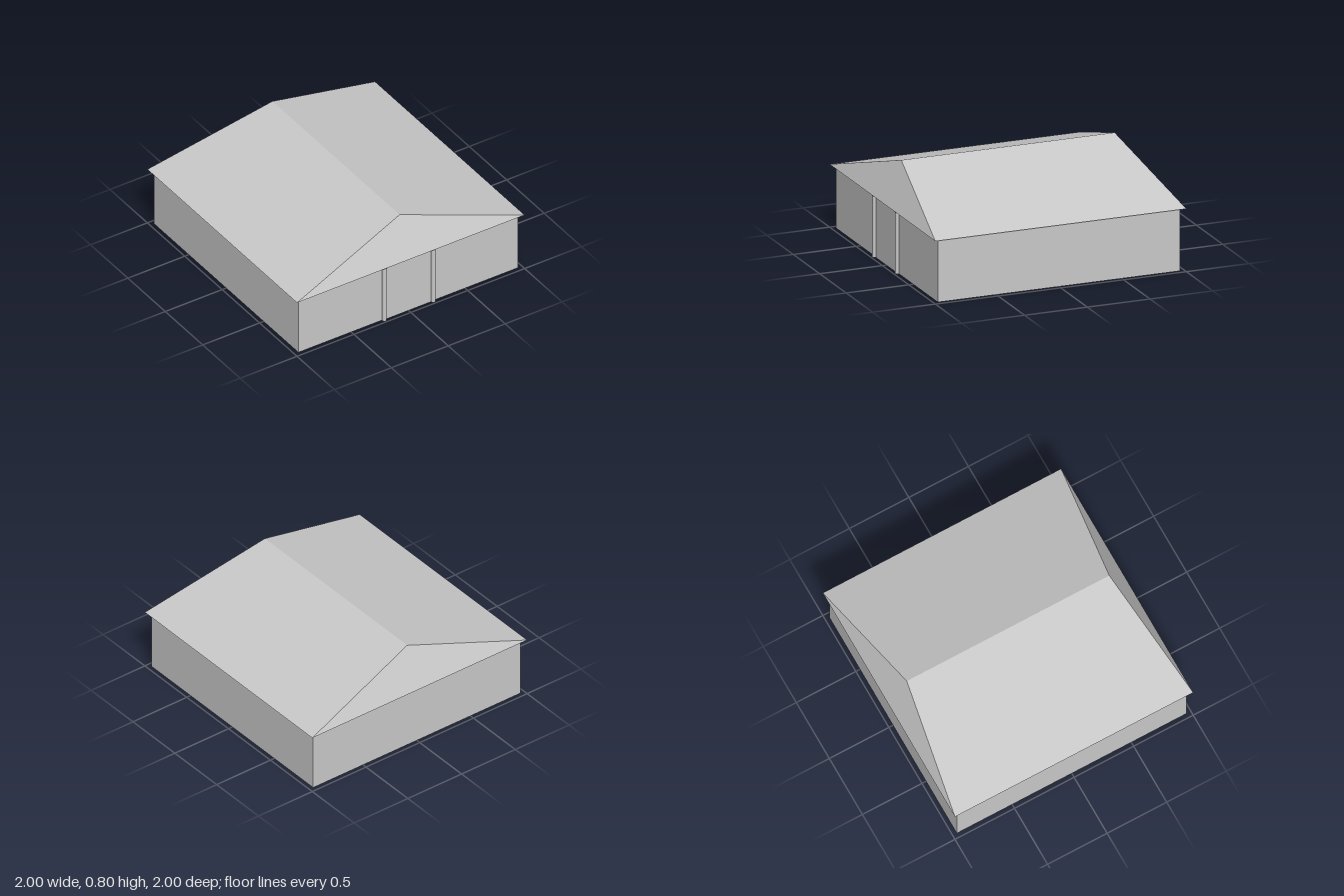
import * as THREE from 'three';

const EAVE = 0.485, RIDGE = 0.795, WALL = 0.965, THICK = 0.012;

// Open hipped shell: two long slopes and two steep end slopes
function roofGeometry() {
  const a = [-1, EAVE, 1], b = [1, EAVE, 1], c = [1, EAVE, -1], d = [-1, EAVE, -1];
  const f = [0, RIDGE, 0.85], k = [0, RIDGE, -0.85];
  const faces = [[a, b, f], [b, c, k], [b, k, f], [c, d, k], [d, a, f], [d, f, k]];
  const geo = new THREE.BufferGeometry();
  geo.setAttribute('position', new THREE.Float32BufferAttribute(faces.flat(2), 3));
  geo.computeVertexNormals();
  return geo;
}

export function createModel() {
  const model = new THREE.Group();
  model.name = 'house';
  const grey = new THREE.MeshStandardMaterial({ color: 0xc8c8c8 });
  const greyShell = new THREE.MeshStandardMaterial({ color: 0xc8c8c8, side: THREE.DoubleSide });
  grey.name = 'plain grey';
  greyShell.name = 'plain grey shell';

  const add = (name, geo, x, y, z, mat = grey) => {
    const mesh = new THREE.Mesh(geo, mat);
    mesh.name = name;
    mesh.position.set(x, y, z);
    model.add(mesh);
    return mesh;
  };
  const box = (name, w, h, d, x, y, z) => add(name, new THREE.BoxGeometry(w, h, d), x, y, z);

  add('roof', roofGeometry(), 0, 0, 0, greyShell);

  // Four thin walls, open underneath and above
  const mid = WALL - THICK / 2;
  for (const s of [1, -1]) {
    box(s > 0 ? 'frontWall' : 'backWall', 2 * WALL, EAVE, THICK, 0, EAVE / 2, s * mid);
    box(s > 0 ? 'leftWall' : 'rightWall', THICK, EAVE, 2 * (WALL - THICK), s * mid, EAVE / 2, 0);
  }

  // Floor plate, smaller than the walls
  box('floor', 1.38, 0.006, 1.456, 0, 0.003, 0);

  // Door between two columns with small capitals
  box('door', 0.4, 0.47, 0.005, 0, 0.235, WALL + 0.0025);
  for (const s of [1, -1]) {
    add('doorColumn', new THREE.CylinderGeometry(0.0175, 0.0175, EAVE, 16), s * 0.215, EAVE / 2, 0.9725);
    add('columnCapital', new THREE.CylinderGeometry(0.021, 0.0175, 0.018, 16), s * 0.215, EAVE - 0.009, 0.9725);
    // Slim posts inside the corners
    for (const t of [1, -1]) {
      add('cornerPost', new THREE.CylinderGeometry(0.013, 0.013, EAVE, 12), s * 0.947, EAVE / 2, t * 0.947);
    }
  }
  return model;
}
